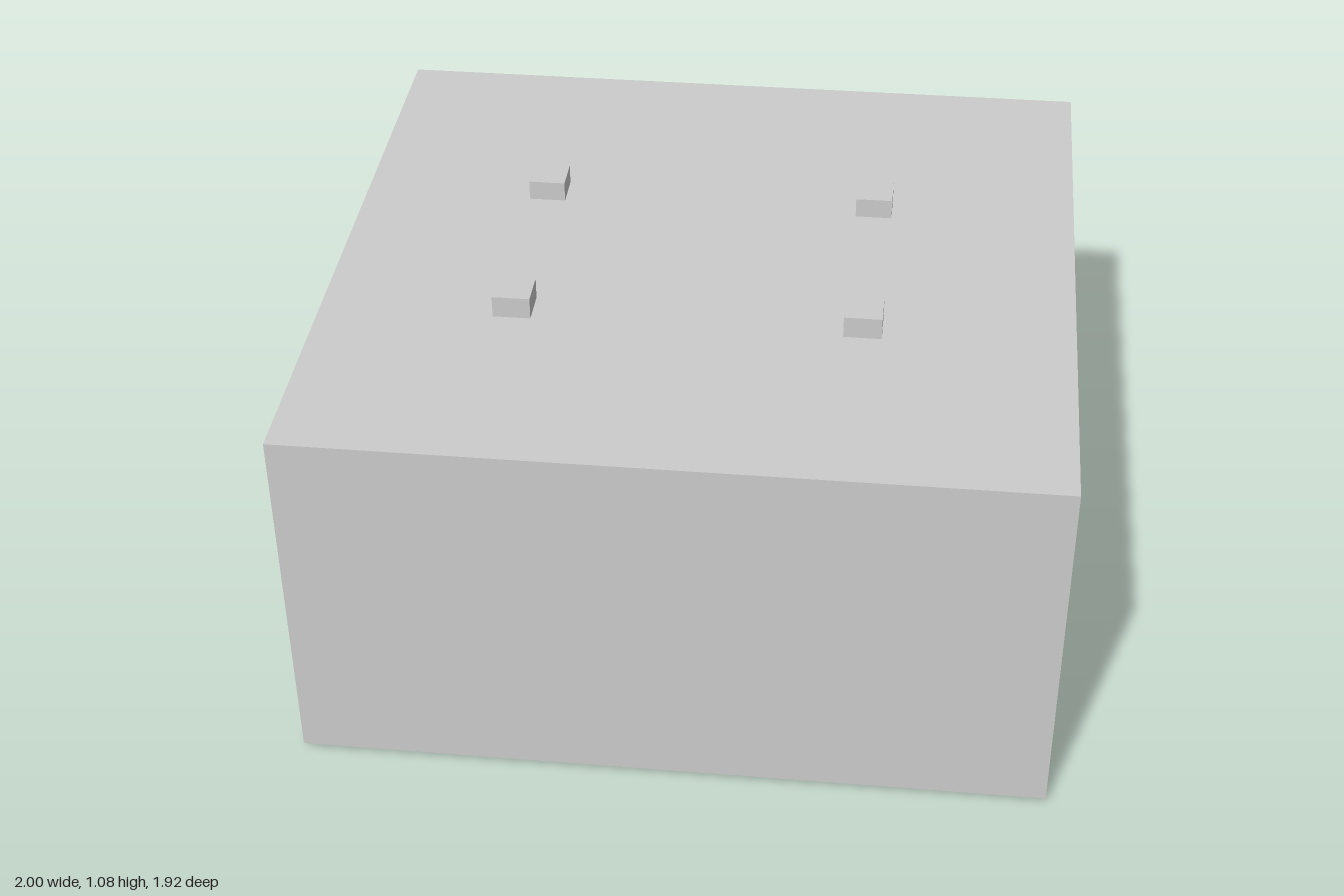
import * as THREE from 'three';

const W = 2, H = 1.03, D = 1.92, T = 0.06; // outer size and wall thickness
const grey = () => new THREE.MeshStandardMaterial({ color: 0xcccccc });

function add(group, name, geometry, material = grey()) {
  const mesh = new THREE.Mesh(geometry, material);
  mesh.name = name;
  group.add(mesh);
  return mesh;
}

// The room narrows very slightly towards the closed front.
function taper(geometry) {
  const p = geometry.attributes.position;
  for (let i = 0; i < p.count; i++) {
    const f = (p.getZ(i) + D / 2) / D;
    p.setX(i, p.getX(i) * (1 - 0.012 * f));
    p.setY(i, H / 2 + (p.getY(i) - H / 2) * (1 - 0.028 * f));
  }
  geometry.computeVertexNormals();
  return geometry;
}

function panel(w, h, d, x, y, z) {
  return taper(new THREE.BoxGeometry(w, h, d).translate(x, y, z));
}

// Side wall pierced by a three-cornered window, drawn in (z, y)
function windowWall() {
  const z0 = -D / 2, z1 = D / 2 - T;
  const corners = pts => pts.map(([z, y]) => new THREE.Vector2(z, y));
  const shape = new THREE.Shape(corners([[z0, T], [z1, T], [z1, H - T], [z0, H - T]]));
  shape.holes.push(new THREE.Path(corners([[-0.07, 0.51], [0.38, 0.6], [0.38, 0.31]])));
  const g = new THREE.ExtrudeGeometry(shape, { depth: T, bevelEnabled: false });
  g.rotateY(-Math.PI / 2).translate(-W / 2 + T, 0, 0);
  return taper(g);
}

// Height of the rippled ground: crossed, warped waves with rounded crests
function groundHeight(x, z) {
  const u = x + 0.06 * Math.sin(7 * z + 1), v = z + 0.06 * Math.sin(8 * x);
  const crest = 1 - Math.abs(Math.sin(7 * u + 3 * v)) * Math.abs(Math.sin(9 * v - 2.5 * u + 0.6));
  return 0.295 + 0.03 * crest
    + 0.012 * Math.sin(5 * u - 4 * v)
    + 0.008 * Math.sin(17 * u + 2) * Math.sin(15 * v);
}

function rippledGround() {
  const g = new THREE.PlaneGeometry(W - 2 * T - 0.02, D - T - 0.02, 80, 80);
  g.rotateX(-Math.PI / 2).translate(0, 0, -T / 2);
  const p = g.attributes.position;
  for (let i = 0; i < p.count; i++) p.setY(i, groundHeight(p.getX(i), p.getZ(i)));
  g.computeVertexNormals();
  return g;
}

export function createModel() {
  const model = new THREE.Group();
  model.name = 'pillaredRoom';

  // Shell, open at the back
  const shell = new THREE.Group();
  shell.name = 'shell';
  model.add(shell);
  const innerH = H - 2 * T;
  add(shell, 'floor', panel(W, T, D, 0, T / 2, 0));
  add(shell, 'roof', panel(W, T, D, 0, H - T / 2, 0));
  add(shell, 'frontWall', panel(W, innerH, T, 0, H / 2, D / 2 - T / 2));
  add(shell, 'leftWall', panel(T, innerH, D - T, W / 2 - T / 2, H / 2, -T / 2));
  add(shell, 'rightWindowWall', windowWall());

  // Uneven ground inside
  const ground = grey();
  ground.side = THREE.DoubleSide;
  add(model, 'rippledGround', rippledGround(), ground);

  // Four pillars that rise through the roof
  const pillars = new THREE.Group();
  pillars.name = 'pillars';
  model.add(pillars);
  const bottom = 0.03, top = 1.08;
  for (const x of [-0.48, 0.44]) {
    for (const z of [-0.29, 0.305]) {
      const g = new THREE.BoxGeometry(0.1, top - bottom, 0.1);
      add(pillars, 'pillar', g).position.set(x, (top + bottom) / 2, z);
    }
  }
  return model;
}
